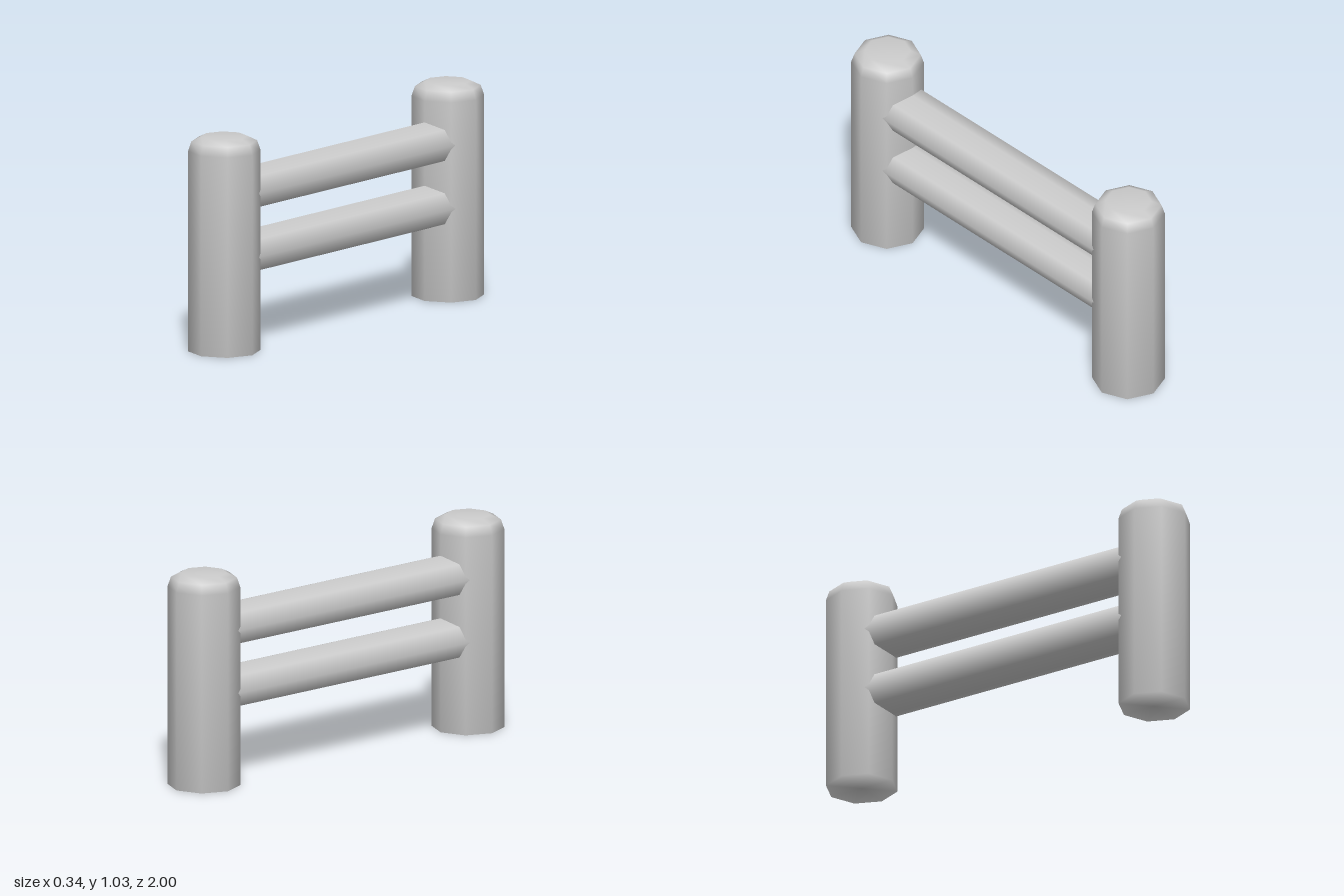
import * as THREE from 'three';

const SIDES = 8;

export function createModel() {
  const group = new THREE.Group();
  const material = new THREE.MeshStandardMaterial({ color: 0xcccccc });

  const add = (name, geometry, x, y, z) => {
    const mesh = new THREE.Mesh(geometry, material);
    mesh.name = name;
    mesh.position.set(x, y, z);
    group.add(mesh);
  };

  // Round-topped eight-sided posts, smooth shaded
  const profile = [
    [0, 0], [0.172, 0], [0.172, 0.963], [0.156, 1.01], [0.108, 1.033], [0, 1.033],
  ].map(([r, y]) => new THREE.Vector2(r, y));
  const post = new THREE.LatheGeometry(profile, SIDES);
  add('frontPost', post, 0, 0, 0.828);
  add('backPost', post, 0, 0, -0.828);

  // Flattened eight-sided rails running into the posts
  const rail = new THREE.CylinderGeometry(1, 1, 1.64, SIDES);
  rail.rotateX(Math.PI / 2);
  rail.scale(0.13, 0.105, 1);
  add('lowerRail', rail, 0, 0.45, 0);
  add('upperRail', rail, 0, 0.755, 0);

  return group;
}
